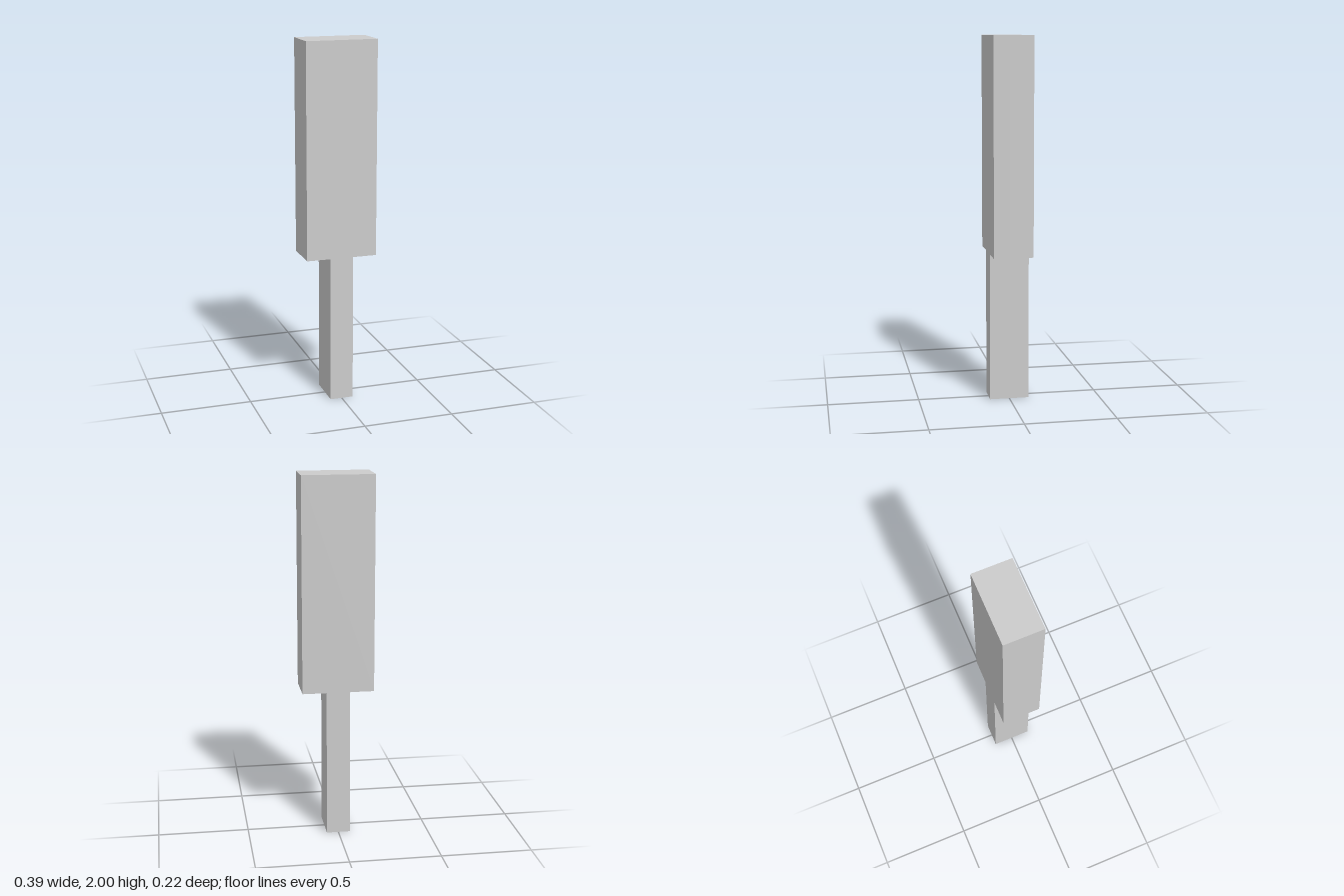
import * as THREE from 'three';

export function createModel() {
  const group = new THREE.Group();
  group.name = 'paddle';

  const headHalf = 0.197, handleHalf = 0.065, shoulderY = 0.82, topY = 2, depth = 0.216;

  // Outline of the narrow handle widening into the broad head
  const right = [[handleHalf, 0], [handleHalf, shoulderY], [headHalf, shoulderY], [headHalf, topY]];
  const left = right.map(([x, y]) => [-x, y]).reverse();
  const outline = new THREE.Shape([...right, ...left].map(([x, y]) => new THREE.Vector2(x, y)));

  // One solid body, flush on front and back
  const geometry = new THREE.ExtrudeGeometry(outline, { depth, bevelEnabled: false });
  geometry.translate(0, 0, -depth / 2);

  const body = new THREE.Mesh(
    geometry,
    new THREE.MeshStandardMaterial({ color: 0xcccccc, flatShading: true })
  );
  body.name = 'headAndHandle';
  group.add(body);
  return group;
}
